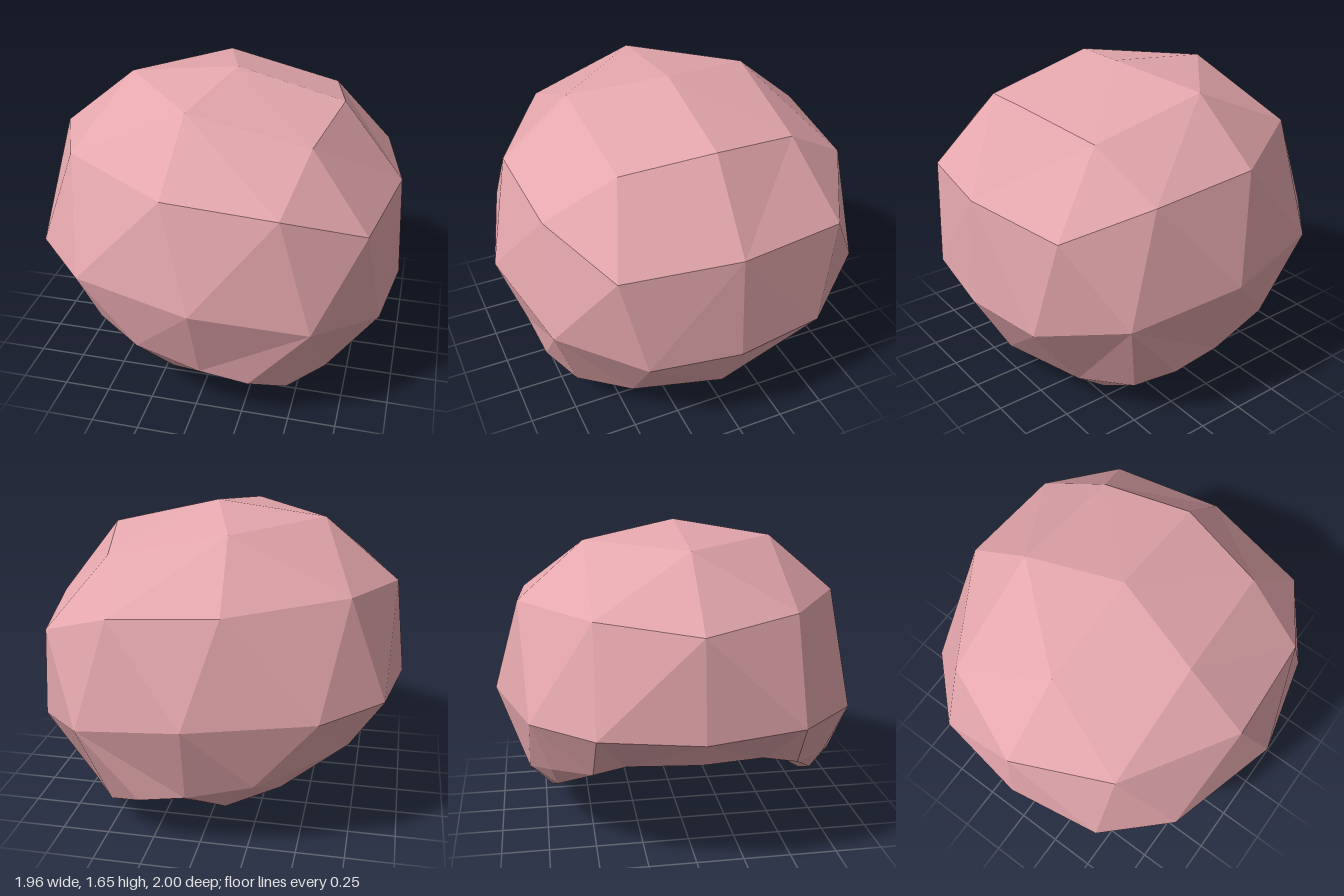
import * as THREE from 'three';

// Half of the faceted cap (z >= 0); the other half is mirrored.
const POINTS = [
  // centre line, brow to nape (0-8)
  [-0.98, 0.75, 0], [-0.925, 1.26, 0], [-0.53, 1.585, 0], [0.05, 1.655, 0], [0.62, 1.515, 0],
  [0.947, 1.1, 0], [0.98, 0.53, 0], [0.78, 0.165, 0], [0.6, 0, 0],
  // side of the dome (9-20)
  [-0.9, 0.77, 0.51], [-0.71, 1.3, 0.5], [-0.1, 1.58, 0.5], [0.525, 1.445, 0.47],
  [-0.6, 0.76, 0.82], [-0.13, 1.275, 0.855], [0.435, 1.225, 0.825], [0.833, 1.07, 0.6],
  [0.035, 0.745, 1], [0.61, 0.64, 0.865], [0.913, 0.54, 0.48], [0.65, 0.165, 0.47],
  // outer rim of the opening, nape to temple (21-27)
  [0.48, 0.035, 0.465], [0.48, 0.195, 0.725], [0.3, 0.265, 0.835], [0.05, 0.32, 0.86],
  [-0.29, 0.4, 0.83], [-0.52, 0.475, 0.72], [-0.73, 0.525, 0.52],
  // inner rim (28-30)
  [0.12, 0.185, 0.645], [-0.13, 0.21, 0.715], [-0.41, 0.34, 0.69],
  // hollow underside: side, temple, brow and deepest point (31-34)
  [-0.41, 0.42, 0.5], [-0.69, 0.54, 0.35], [-0.86, 0.6, 0], [0, 0.74, 0],
];

// Triangle fans: hub first, then the points around it.
const DOME = [
  [1, 0, 9, 10, 2], [11, 2, 10, 14, 15, 12, 3, 2], [12, 3, 4, 5, 16, 15],
  [19, 16, 5, 6, 7, 20], [18, 24, 23, 22, 20, 19, 16, 15], [17, 13, 25, 24, 18, 15, 14, 13],
  [13, 14, 10, 9, 27, 26, 25], [20, 22, 21, 8, 7],
];
const RIM = [[28, 21, 22, 23, 24, 29], [29, 24, 25, 30], [30, 25, 26, 27]];
const BROW = [[32, 27, 9, 0, 33]];
const HOLLOW = [[31, 21, 28, 29, 30, 27, 32], [34, 8, 21, 31, 32, 33]];

const points = POINTS.map((p) => new THREE.Vector3(...p));
const centre = new THREE.Vector3(0, 0.7, 0);
const down = new THREE.Vector3(-0.4, -0.9, 0);

// Directions the faces should look towards.
const outward = (a, b, c) => a.clone().add(b).add(c).divideScalar(3).sub(centre);
const downward = () => down;

// Flat-faced mesh from half the fans plus their mirror images.
function mirroredMesh(name, fans, facing, material) {
  const values = [];
  for (const [hub, ...ring] of fans) {
    for (let i = 0; i < ring.length - 1; i++) {
      let [a, b, c] = [hub, ring[i], ring[i + 1]].map((k) => points[k]);
      const normal = b.clone().sub(a).cross(c.clone().sub(a));
      if (normal.dot(facing(a, b, c)) < 0) [b, c] = [c, b];
      for (const p of [a, b, c]) values.push(p.x, p.y, p.z);
      for (const p of [a, c, b]) values.push(p.x, p.y, -p.z);
    }
  }
  const geometry = new THREE.BufferGeometry();
  geometry.setAttribute('position', new THREE.Float32BufferAttribute(values, 3));
  geometry.computeVertexNormals();
  const mesh = new THREE.Mesh(geometry, material);
  mesh.name = name;
  return mesh;
}

export function createModel() {
  const group = new THREE.Group();
  group.name = 'facetedCap';
  const pink = new THREE.MeshStandardMaterial({ color: 0xe4a7ad });
  pink.name = 'dustyPink';
  pink.flatShading = true;

  group.add(
    mirroredMesh('dome', DOME, outward, pink),
    mirroredMesh('openingRim', RIM, downward, pink),
    mirroredMesh('browUnderside', BROW, downward, pink),
    mirroredMesh('hollowUnderside', HOLLOW, downward, pink),
  );
  return group;
}
